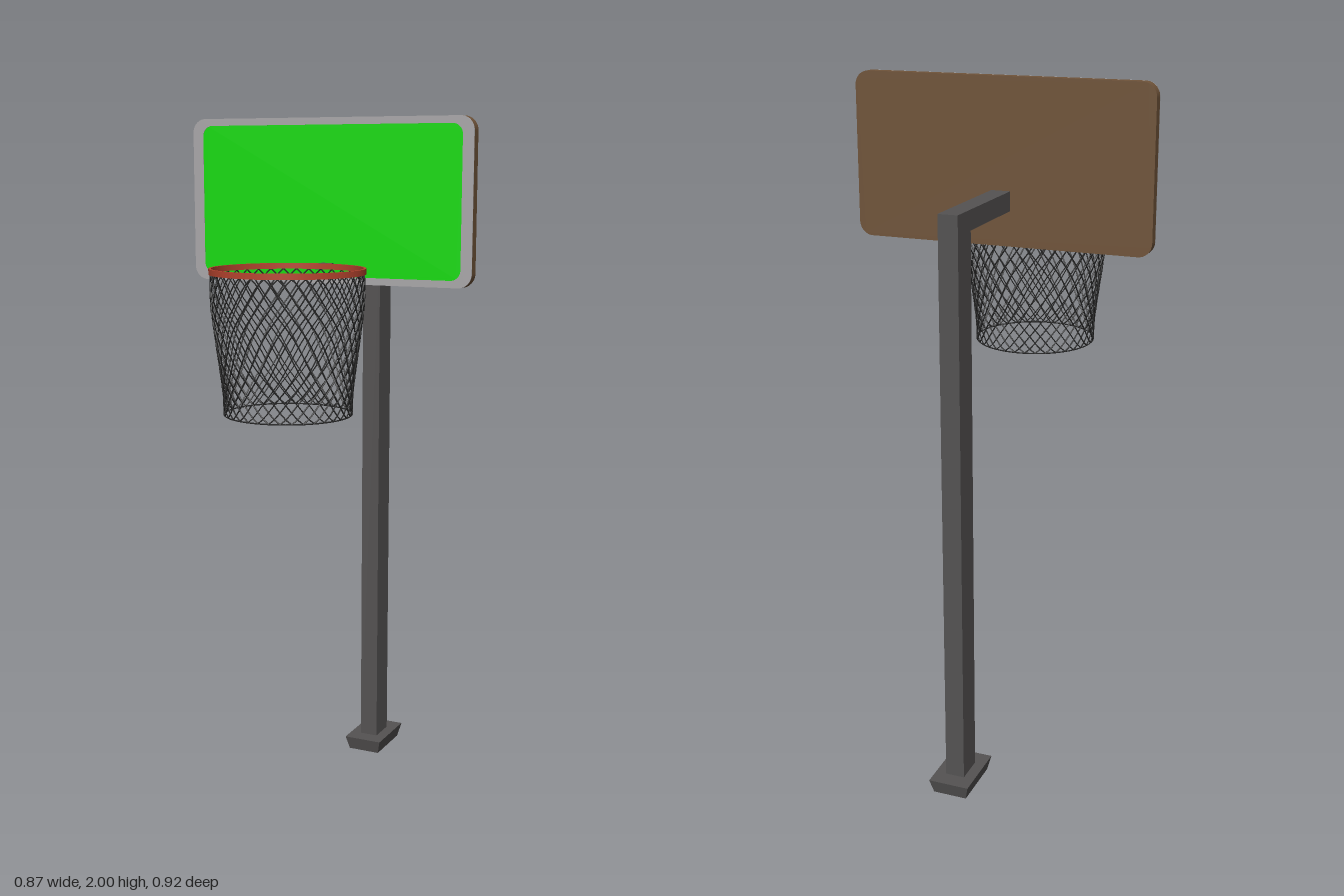
import * as THREE from 'three';
import { mergeGeometries } from 'three/addons/utils/BufferGeometryUtils.js';

const mat = (color) => new THREE.MeshStandardMaterial({ color });
const STEEL = mat(0x555353), BROWN = mat(0x70543a), GREY = mat(0xaaa8aa);
const GREEN = mat(0x14dd0c), RED = mat(0xb8452f), CORD = mat(0x2a2a2a);

function add(group, name, geometry, material) {
  const mesh = new THREE.Mesh(geometry, material);
  mesh.name = name;
  group.add(mesh);
  return mesh;
}

// Box given by its minimum and maximum corners
function box(x0, x1, y0, y1, z0, z1) {
  return new THREE.BoxGeometry(x1 - x0, y1 - y0, z1 - z0)
    .translate((x0 + x1) / 2, (y0 + y1) / 2, (z0 + z1) / 2);
}

function roundedRect(halfWidth, y0, y1, r) {
  const s = new THREE.Shape();
  s.absarc(halfWidth - r, y0 + r, r, -Math.PI / 2, 0);
  s.absarc(halfWidth - r, y1 - r, r, 0, Math.PI / 2);
  s.absarc(-halfWidth + r, y1 - r, r, Math.PI / 2, Math.PI);
  s.absarc(-halfWidth + r, y0 + r, r, Math.PI, Math.PI * 1.5);
  s.closePath();
  return s;
}

function plate(shape, z0, z1) {
  return new THREE.ExtrudeGeometry(shape, { depth: z1 - z0, bevelEnabled: false, curveSegments: 8 })
    .translate(0, 0, z0);
}

export function createModel() {
  const model = new THREE.Group();
  model.name = 'basketballHoop';

  // Foot, tapering slightly towards the ground
  const foot = box(-0.06, 0.06, 0, 0.042, -0.46, -0.275);
  const p = foot.attributes.position;
  for (let i = 0; i < p.count; i++) {
    if (p.getY(i) < 0.02) {
      p.setX(i, p.getX(i) * 0.83);
      p.setZ(i, -0.3675 + (p.getZ(i) + 0.3675) * 0.88);
    }
  }
  foot.computeVertexNormals();
  add(model, 'foot', foot, STEEL);

  // Post and arm
  add(model, 'post', box(-0.028, 0.028, 0.04, 1.69, -0.41, -0.325), STEEL);
  add(model, 'arm', box(-0.028, 0.028, 1.635, 1.69, -0.325, -0.04), STEEL);

  // Backboard: brown body, grey front border, green panel
  const board = new THREE.Group();
  board.name = 'backboard';
  model.add(board);
  add(board, 'boardBody', plate(roundedRect(0.437, 1.535, 2, 0.04), -0.042, -0.013), BROWN);
  const border = roundedRect(0.437, 1.535, 2, 0.04);
  border.holes.push(roundedRect(0.404, 1.555, 1.98, 0.03));
  add(board, 'boardBorder', plate(border, -0.013, -0.011), GREY);
  add(board, 'boardPanel', plate(roundedRect(0.404, 1.555, 1.98, 0.03), -0.013, -0.0115), GREEN);

  // Hoop
  const hoop = new THREE.Group();
  hoop.name = 'hoop';
  hoop.position.z = 0.243;
  model.add(hoop);
  add(model, 'rimBracket', box(-0.018, 0.018, 1.578, 1.594, -0.012, 0.034), STEEL);
  const rimProfile = [[0.207, 1.579], [0.214, 1.579], [0.214, 1.595], [0.207, 1.595], [0.207, 1.579]];
  // Separate bands keep the rim's edges sharp
  const bands = rimProfile.slice(1).map((b, i) => new THREE.LatheGeometry(
    [new THREE.Vector2(...rimProfile[i]), new THREE.Vector2(...b)], 64));
  add(hoop, 'rim', mergeGeometries(bands), RED);

  // Net: two opposite families of spiralling cords
  const profile = new THREE.SplineCurve([
    [0.209, 1.58], [0.209, 1.5], [0.2, 1.42], [0.187, 1.32], [0.179, 1.25], [0.177, 1.195],
  ].map(([r, y]) => new THREE.Vector2(r, y)));
  const count = 36, twist = 1.4, cords = [];
  for (const dir of [-1, 1]) {
    const points = profile.getPoints(20).map((q, i) => {
      const a = dir * twist * i / 20;
      return new THREE.Vector3(q.x * Math.sin(a), q.y, q.x * Math.cos(a));
    });
    const cord = new THREE.TubeGeometry(new THREE.CatmullRomCurve3(points), 24, 0.002, 4);
    for (let k = 0; k < count; k++) cords.push(cord.clone().rotateY(k / count * Math.PI * 2));
  }
  // Hem cord
  cords.push(new THREE.TorusGeometry(0.177, 0.002, 4, 72).rotateX(Math.PI / 2).translate(0, 1.195, 0));
  add(hoop, 'net', mergeGeometries(cords), CORD);

  return model;
}
